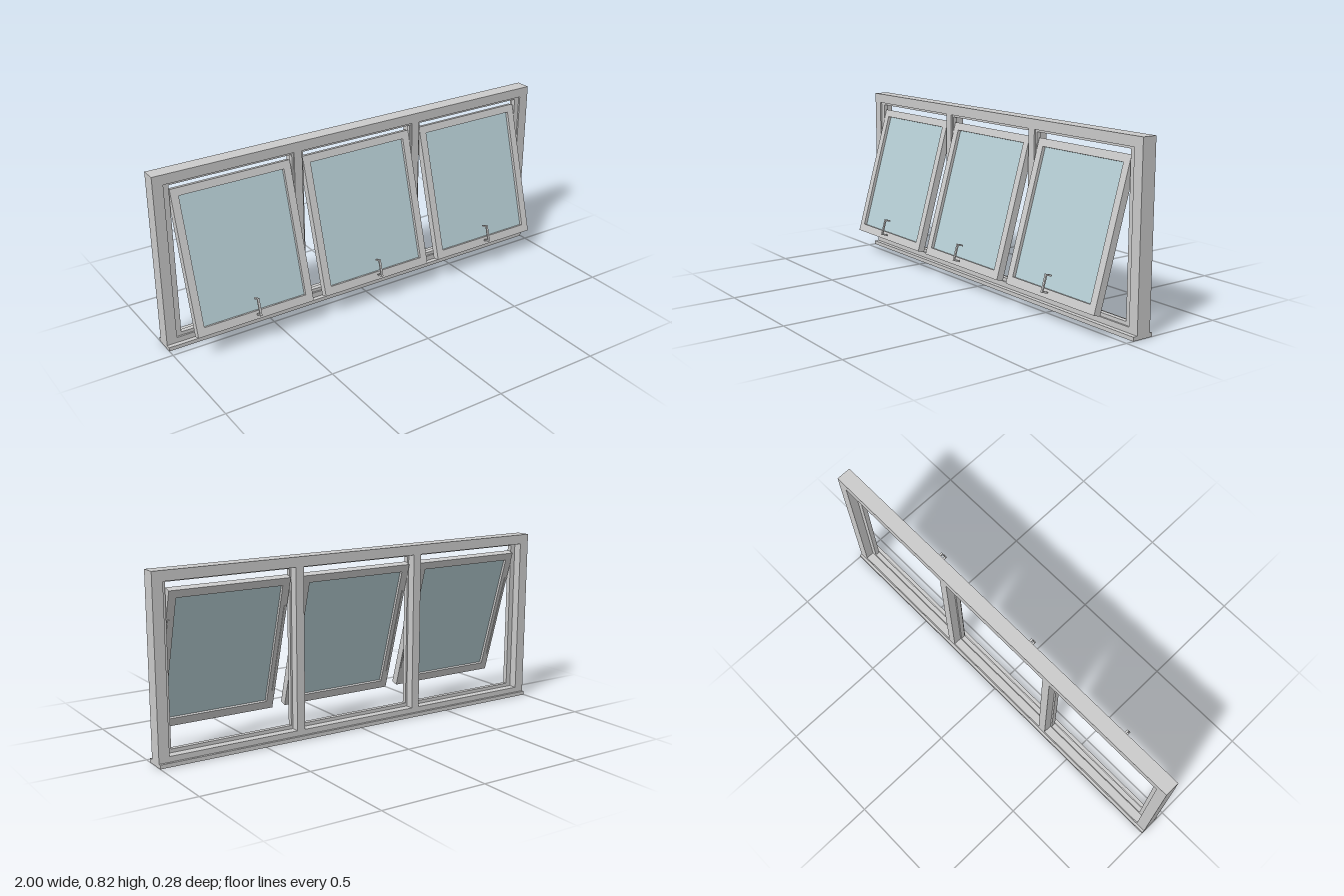
import * as THREE from 'three';

const grey = new THREE.MeshStandardMaterial({ color: 0xcccccc });
const glassMat = new THREE.MeshStandardMaterial({ color: 0xb6ced4 });

// Box given by its minimum and maximum on each axis
function box(parent, name, [x0, x1], [y0, y1], [z0, z1], mat = grey) {
  const m = new THREE.Mesh(new THREE.BoxGeometry(x1 - x0, y1 - y0, z1 - z0), mat);
  m.position.set((x0 + x1) / 2, (y0 + y1) / 2, (z0 + z1) / 2);
  m.name = name;
  parent.add(m);
  return m;
}

function rect(target, x0, x1, y0, y1) {
  target.moveTo(x0, y0);
  target.lineTo(x1, y0);
  target.lineTo(x1, y1);
  target.lineTo(x0, y1);
  target.closePath();
  return target;
}

// Flat plate with rectangular openings, each [x0, x1, y0, y1]
function plate(parent, name, outer, holes, z0, z1) {
  const shape = rect(new THREE.Shape(), ...outer);
  for (const h of holes) shape.holes.push(rect(new THREE.Path(), ...h));
  const geo = new THREE.ExtrudeGeometry(shape, { depth: z1 - z0, bevelEnabled: false });
  geo.translate(0, 0, z0);
  const m = new THREE.Mesh(geo, grey);
  m.name = name;
  parent.add(m);
}

// Top-hung sash; local origin is the bottom front edge
function makeSash(x) {
  const sash = new THREE.Group();
  sash.name = 'sash';
  const w = 0.285, h = 0.652, t = 0.034;
  plate(sash, 'sashFrame', [-w, w, 0, h], [[-w + 0.035, w - 0.035, 0.038, h - 0.035]], -t, 0);
  box(sash, 'glass', [-w + 0.034, w - 0.034], [0.037, h - 0.034], [-0.021, -0.015], glassMat);

  // Slim stay bars behind the stiles
  for (const s of [-1, 1]) {
    const bar = box(sash, 'stayBar', [-0.005, 0.005], [0.09, 0.52], [-t - 0.003, -t + 0.001]);
    bar.position.x = s * (w - 0.01);
  }

  // C-shaped pull handle
  const handle = new THREE.Group();
  handle.name = 'handle';
  box(handle, 'grip', [-0.005, 0.005], [0.022, 0.102], [0.036, 0.043]);
  for (const y of [0.022, 0.095]) box(handle, 'handleLeg', [-0.005, 0.005], [y, y + 0.007], [0.011, 0.037]);
  sash.add(handle);

  sash.position.set(x, 0.113, 0.104);
  sash.rotation.x = -0.28;
  return sash;
}

export function createModel() {
  const model = new THREE.Group();
  model.name = 'window';

  // Sill, main frame with mullions, and the wider stop inside it
  box(model, 'sill', [-1, 1], [0, 0.018], [-0.14, -0.037]);
  const bays = (jamb, mullion, y0, y1) => [
    [-jamb, -0.3165 - mullion, y0, y1],
    [-0.3165 + mullion, 0.3165 - mullion, y0, y1],
    [0.3165 + mullion, jamb, y0, y1],
  ];
  plate(model, 'mainFrame', [-1, 1, 0.018, 0.82], bays(0.952, 0.02, 0.043, 0.775), -0.128, -0.058);
  plate(model, 'frameStop', [-0.96, 0.96, 0.035, 0.785], bays(0.926, 0.028, 0.059, 0.765), -0.088, -0.066);

  for (const x of [-0.635, 0, 0.635]) model.add(makeSash(x));
  return model;
}
